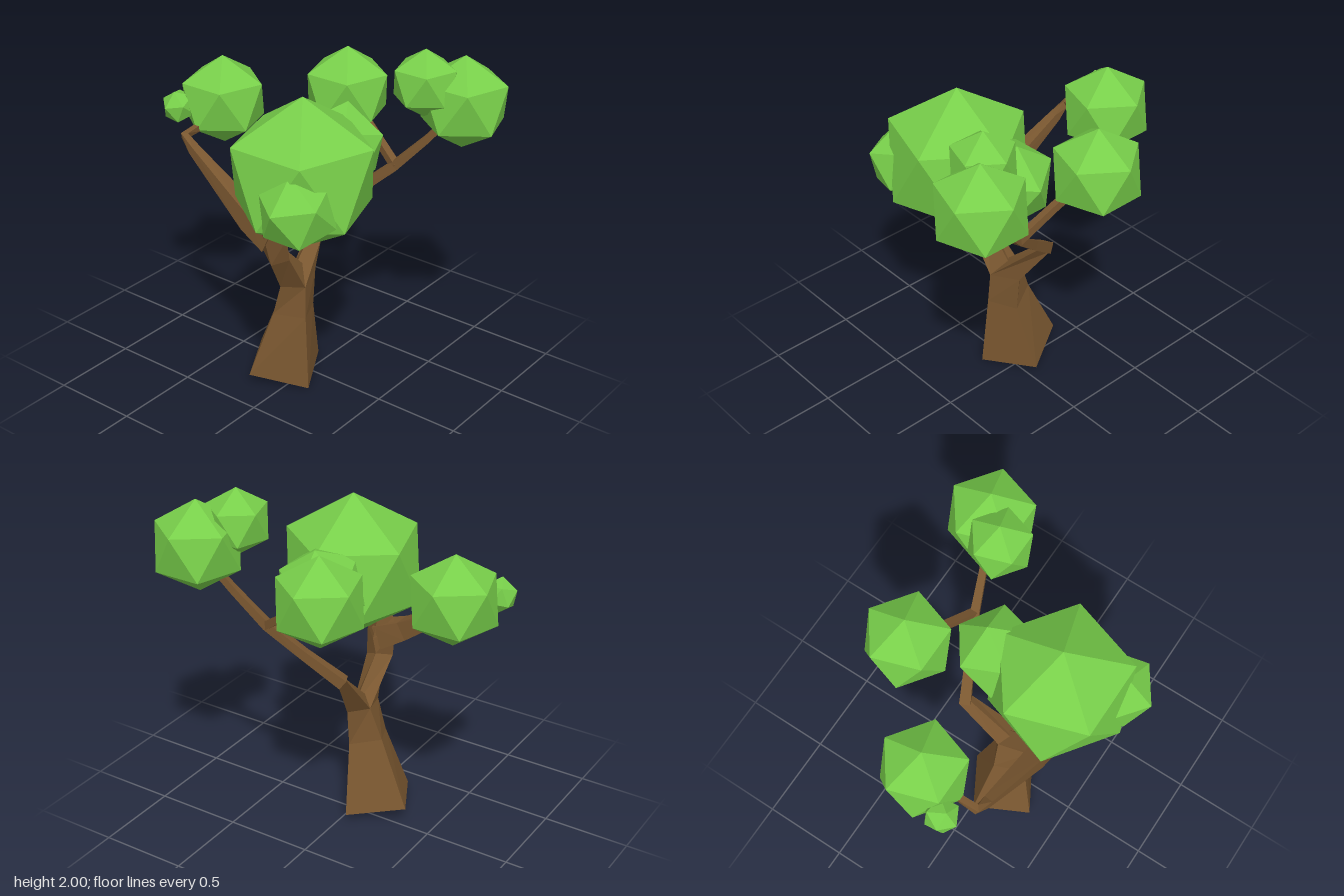
import * as THREE from 'three';

const bark = new THREE.MeshStandardMaterial({ color: 0x7a5730, flatShading: true });
const leaf = new THREE.MeshStandardMaterial({ color: 0x78cf4a, flatShading: true });

// Closed skin over four-cornered rings; corners run counterclockwise seen from the tip
function loft(name, rings) {
  const pos = [];
  const quad = (a, b, c, d) => [a, b, c, a, c, d].forEach((p) => pos.push(...p));
  for (let r = 0; r < rings.length - 1; r++) {
    for (let i = 0; i < 4; i++) {
      const j = (i + 1) % 4;
      quad(rings[r][i], rings[r][j], rings[r + 1][j], rings[r + 1][i]);
    }
  }
  const [a, b, c, d] = rings[0];
  quad(d, c, b, a);
  quad(...rings[rings.length - 1]);
  const geo = new THREE.BufferGeometry();
  geo.setAttribute('position', new THREE.Float32BufferAttribute(pos, 3));
  geo.computeVertexNormals();
  const mesh = new THREE.Mesh(geo, bark);
  mesh.name = name;
  return mesh;
}

// Tapered square branch along a path of [x, y, z, half width]
function branch(name, path) {
  const pts = path.map(([x, y, z]) => new THREE.Vector3(x, y, z));
  const rings = pts.map((p, k) => {
    const dir = new THREE.Vector3();
    if (k > 0) dir.add(pts[k].clone().sub(pts[k - 1]).normalize());
    if (k < pts.length - 1) dir.add(pts[k + 1].clone().sub(pts[k]).normalize());
    dir.normalize();
    const u = new THREE.Vector3(0, 1, 0).cross(dir).normalize();
    const v = dir.clone().cross(u);
    const w = path[k][3];
    return [[1, 1], [-1, 1], [-1, -1], [1, -1]].map(([s, t]) =>
      p.clone().addScaledVector(u, s * w).addScaledVector(v, t * w).toArray());
  });
  return loft(name, rings);
}

// Icosahedron standing on a corner, with an upper corner facing +x
function foliage(name, x, y, z, r, spin = 0, tilt = 0) {
  const geo = new THREE.IcosahedronGeometry(r, 0);
  geo.rotateZ(-Math.atan(2 / (1 + Math.sqrt(5))));
  geo.rotateY(spin);
  geo.rotateZ(tilt);
  const mesh = new THREE.Mesh(geo, leaf);
  mesh.position.set(x, y, z);
  mesh.name = name;
  return mesh;
}

export function createModel() {
  const tree = new THREE.Group();
  tree.name = 'tree';

  // Trunk rings: front, right, back and left corners
  const top = [[-0.13, 0.63, 0.075], [0.045, 0.66, 0.01], [-0.045, 0.67, -0.085], [-0.22, 0.64, -0.03]];
  tree.add(loft('trunk', [
    [[-0.16, 0, 0.12], [0.14, 0.04, -0.04], [-0.03, 0.09, -0.335], [-0.33, 0.06, -0.175]],
    [[-0.14, 0.44, 0.085], [0.025, 0.44, 0.01], [-0.06, 0.48, -0.155], [-0.225, 0.45, -0.08]],
    top,
  ]));

  // The two limbs of the fork
  tree.add(loft('thickLimb', [
    [top[0], [0, 0.67, 0], top[2], top[3]],
    [[-0.28, 0.87, 0.085], [-0.24, 0.91, 0], [-0.31, 0.89, -0.07], [-0.345, 0.84, 0.01]],
    [[-0.33, 1.03, 0.11], [-0.24, 1.0, 0.02], [-0.3, 1.06, -0.09], [-0.4, 1.05, 0]],
    [[-0.32, 1.16, 0.06], [-0.27, 1.16, 0], [-0.31, 1.13, -0.07], [-0.37, 1.15, 0]],
  ]));
  tree.add(loft('thinLimb', [
    [top[0], top[1], top[2], [-0.17, 0.65, -0.02]],
    [[0.18, 0.94, 0], [0.225, 0.93, -0.05], [0.21, 0.97, -0.09], [0.165, 0.96, -0.04]],
  ]));

  // Branches
  tree.add(branch('backBranch', [
    [-0.32, 1.0, 0.01, 0.07], [-0.33, 1.07, -0.14, 0.055], [-0.295, 1.35, -0.57, 0.025],
    [-0.285, 1.41, -0.645, 0.02], [-0.18, 1.42, -0.645, 0.018], [0, 1.5, -0.64, 0.015],
  ]));
  tree.add(branch('frontBranch', [
    [0.19, 0.94, -0.06, 0.032], [0.28, 1.1, 0.13, 0.026], [0.365, 1.265, 0.31, 0.025],
    [0.42, 1.45, 0.48, 0.02], [0.48, 1.65, 0.64, 0.016],
  ]));
  tree.add(branch('sideBranch', [
    [0.365, 1.26, 0.32, 0.022], [0.425, 1.42, 0.1, 0.02], [0.48, 1.54, -0.08, 0.018],
  ]));

  // Foliage clumps
  tree.add(foliage('mainFoliage', -0.27, 1.41, 0.17, 0.43));
  tree.add(foliage('frontFoliage', 0.485, 1.692, 0.66, 0.262));
  tree.add(foliage('topFoliage', 0.333, 1.81, 0.51, 0.19));
  tree.add(foliage('sideFoliage', 0.497, 1.565, -0.117, 0.26));
  tree.add(foliage('backFoliage', 0.038, 1.525, -0.64, 0.26));
  tree.add(foliage('smallBackFoliage', -0.17, 1.51, -0.79, 0.1, 0.5, 0.35));
  tree.add(foliage('innerFoliage', 0.1, 1.425, 0.135, 0.25, 0, -0.26));
  tree.add(foliage('outerFoliage', -0.52, 1.34, 0.33, 0.22, Math.PI, 0.26));
  return tree;
}
